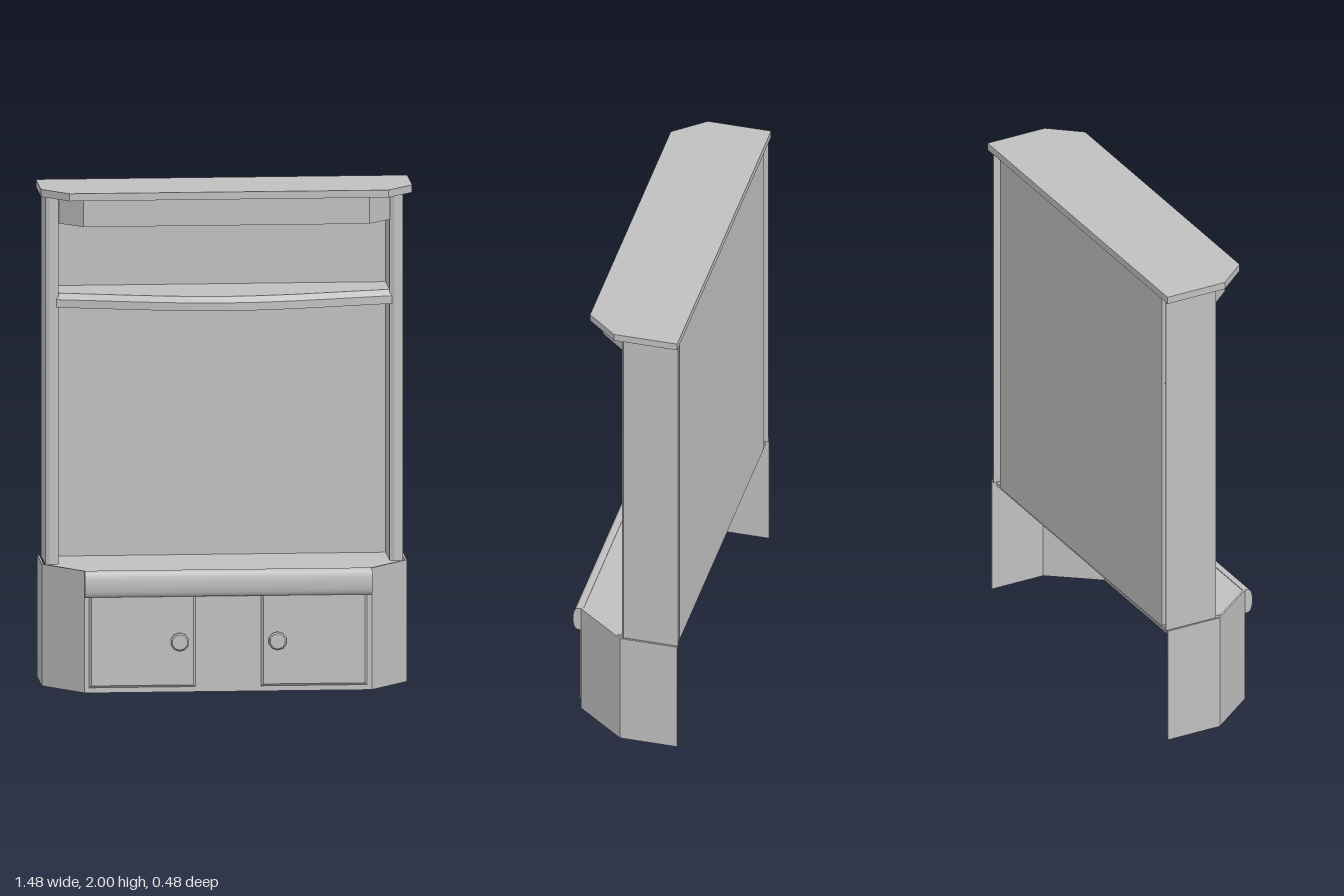
import * as THREE from 'three';

const grey = new THREE.MeshStandardMaterial({ color: 0xc0c0c0 });
grey.name = 'plain grey';

function add(parent, name, geometry) {
  const mesh = new THREE.Mesh(geometry, grey);
  mesh.name = name;
  parent.add(mesh);
  return mesh;
}

// Upright prism from a plan outline of [x, z] points
function slab(points, y0, y1) {
  const shape = new THREE.Shape(points.map(([x, z]) => new THREE.Vector2(x, -z)));
  const g = new THREE.ExtrudeGeometry(shape, { depth: y1 - y0, bevelEnabled: false });
  return g.rotateX(-Math.PI / 2).translate(0, y0, 0);
}

// Completes a right half outline with its mirror image
const mirrored = (half) => [...half, ...half.map(([x, z]) => [-x, z]).reverse()];

function box(x0, x1, y0, y1, z0, z1) {
  return new THREE.BoxGeometry(x1 - x0, y1 - y0, z1 - z0)
    .translate((x0 + x1) / 2, (y0 + y1) / 2, (z0 + z1) / 2);
}

// Applies a rule to every vertex, then refreshes the normals
function reshape(g, rule) {
  const p = g.attributes.position;
  const v = new THREE.Vector3();
  for (let i = 0; i < p.count; i++) {
    rule(v.fromBufferAttribute(p, i));
    p.setXYZ(i, v.x, v.y, v.z);
  }
  g.computeVertexNormals();
  return g;
}

export function createModel() {
  const model = new THREE.Group();
  model.name = 'cabinet with tall back';
  const body = new THREE.Group();
  body.name = 'body';
  body.position.x = -0.0075;
  model.add(body);

  // Cornice with cut front corners
  add(model, 'cornice', slab(mirrored([[0.74, -0.24], [0.74, 0.02], [0.635, 0.145]]), 1.97, 2));

  // Valance below the cornice
  add(body, 'valance', slab(mirrored([[0.66, -0.228], [0.66, 0.005], [0.57, 0.11]]), 1.86, 1.97));

  // Base walls, open at the back and underneath
  const outer = mirrored([[0.7275, -0.235], [0.7275, 0], [0.5725, 0.2]]);
  const inner = mirrored([[0.7195, -0.235], [0.7195, -0.003], [0.5685, 0.192]]);
  add(body, 'baseWalls', slab([...outer, ...inner.reverse()], 0, 0.49));
  add(body, 'worktop', slab(mirrored([[0.7, -0.225], [0.7, 0.02], [0.567, 0.193]]), 0.472, 0.487));

  // Rounded moulding along the front of the worktop
  const roll = new THREE.CylinderGeometry(1, 1, 1.145, 24, 1, false, -Math.PI / 2, Math.PI);
  roll.rotateZ(Math.PI / 2);
  reshape(roll, (v) => {
    v.y = 0.4375 + v.y * 0.0525;
    v.z = 0.2 + 0.034 * Math.sqrt(Math.max(v.z, 0));
  });
  add(body, 'frontMoulding', roll);

  // Back panel
  add(body, 'backPanel', box(-0.66, 0.66, 0.48, 1.86, -0.228, -0.22));

  // Hollow sides, doors and knobs
  for (const s of [-1, 1]) {
    const side = s < 0 ? 'right' : 'left';
    const span = (a, b, ...rest) => box(Math.min(s * a, s * b), Math.max(s * a, s * b), ...rest);
    add(body, side + 'OuterSide', span(0.7065, 0.7125, 0.485, 1.97, -0.235, -0.01));
    add(body, side + 'InnerSide', span(0.66, 0.666, 0.485, 1.97, -0.228, -0.01));
    const stile = [[0.7125, -0.016], [0.7125, -0.01], [0.697, 0], [0.679, 0], [0.66, -0.012], [0.66, -0.016]];
    add(body, side + 'Stile', slab(stile.map(([x, z]) => [s * x, z]), 0.485, 1.97));

    const door = span(0.13, 0.555, 0.02, 0.4, 0.199, 0.212);
    reshape(door, (v) => {
      if (v.z < 0.205) return;
      v.x += Math.abs(v.x) > 0.3 ? -s * 0.01 : s * 0.01;
      if (v.y < 0.2) v.y += 0.01;
    });
    add(body, side + 'Door', door);

    const profile = [[0.018, 0], [0.02, 0.009], [0.037, 0.015], [0.037, 0.022], [0.031, 0.029], [0, 0.029]];
    const knob = new THREE.LatheGeometry(profile.map(([r, h]) => new THREE.Vector2(r, h)), 10)
      .rotateX(Math.PI / 2).toNonIndexed();
    knob.computeVertexNormals();
    add(body, side + 'Knob', knob).position.set(s * 0.195, 0.205, 0.211);
  }

  // Bow-fronted shelf with a bevelled upper edge
  const plan = [[-0.668, -0.22], [0.668, -0.22]].reverse();
  const steps = 10;
  for (let i = 0; i <= steps; i++) {
    const t = (i / steps) * 2 - 1;
    plan.push([t * 0.668, -0.003 + 0.138 * (0.5 + 0.5 * Math.cos(t * Math.PI)) * 0.4
      + 0.138 * (1 - t * t) * 0.6]);
  }
  add(body, 'shelf', slab(plan, 1.52, 1.552));
  add(body, 'shelfBevel', reshape(slab(plan, 1.552, 1.575), (v) => {
    if (v.y > 1.56 && v.z > -0.1) v.z -= 0.022;
  }));

  return model;
}
